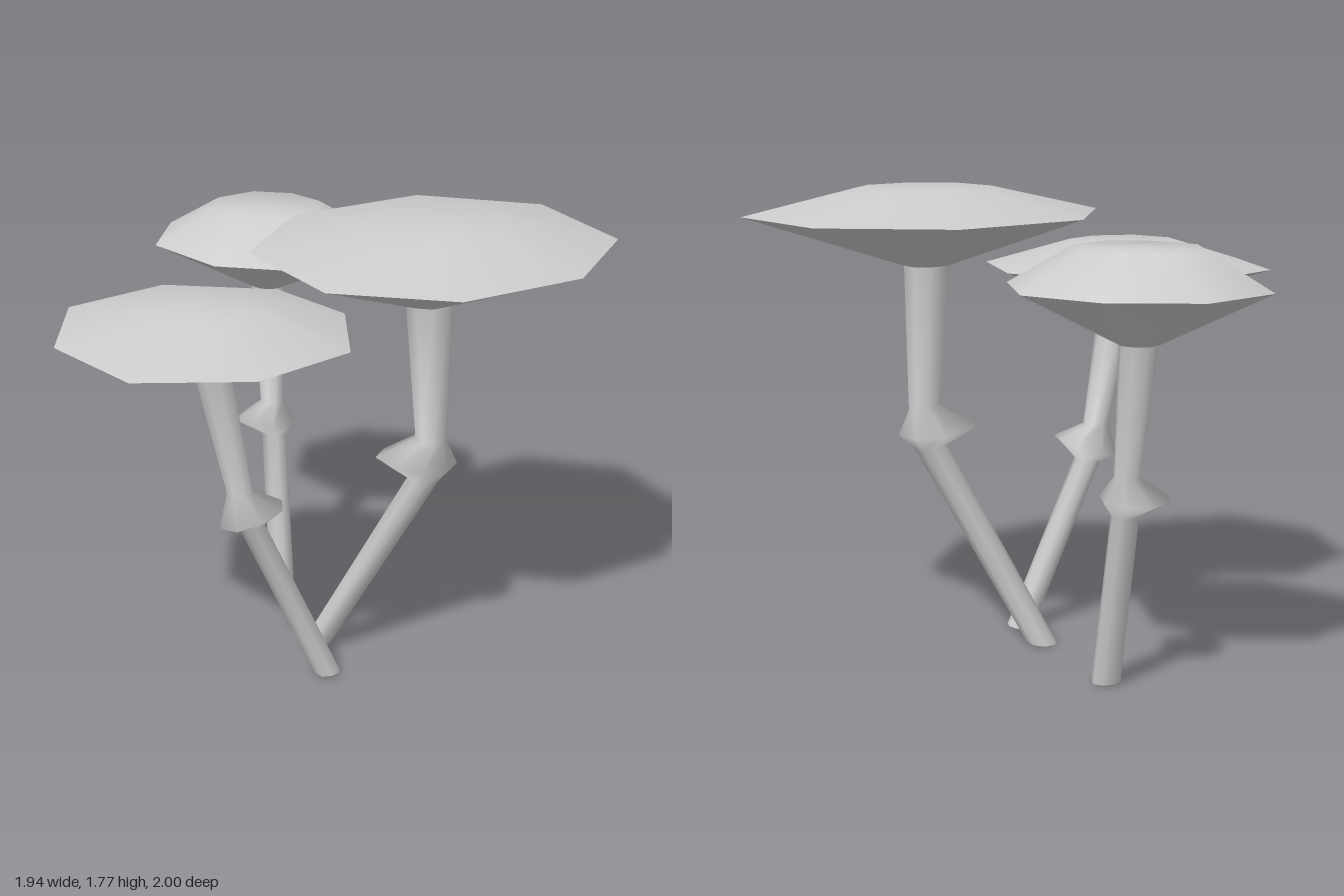
import * as THREE from 'three';

// Smooth skin through a stack of loops, optionally closed by a flat lid on the last one
function loft(loops, lid = false) {
  const n = loops[0].length, pos = loops.flat(2), idx = [];
  for (let i = 0; i < loops.length - 1; i++) {
    for (let j = 0; j < n; j++) {
      const k = (j + 1) % n, a = i * n + j, b = i * n + k, d = a + n, c = b + n;
      idx.push(a, d, b, b, d, c);
    }
  }
  if (lid) {
    const last = loops[loops.length - 1], base = (loops.length - 1) * n;
    for (let t = 0; t < 3; t++) pos.push(last.reduce((s, p) => s + p[t], 0) / n);
    for (let j = 0; j < n; j++) idx.push(loops.length * n, base + (j + 1) % n, base + j);
  }
  const g = new THREE.BufferGeometry();
  g.setAttribute('position', new THREE.Float32BufferAttribute(pos, 3));
  g.setIndex(idx);
  g.computeVertexNormals();
  return g;
}

// rim: outline [x, z]; stem: sections [x, y, z, radius, tiltX, tiltZ] from foot to neck
const MUSHROOMS = [
  {
    name: 'largeMushroom', rimY: 1.68, topY: 1.775, crown: 0.39,
    rim: [[0.08, -0.74], [0.58, -0.79], [0.97, -0.43], [0.97, 0.08], [0.67, 0.48], [0.21, 0.56], [-0.22, 0.23], [-0.26, -0.29]],
    stem: [[-0.055, 0.01, 0.005, 0.06, 0.08, 0], [0.365, 0.78, -0.055, 0.06, -0.2, 0], [0.34, 0.855, -0.04, 0.155, -0.09, 0.1],
      [0.39, 0.94, -0.06, 0.06, -0.2, 0], [0.375, 1.48, -0.055, 0.088, 0, 0]],
  },
  {
    name: 'frontMushroom', rimY: 1.44, topY: 1.54, crown: 0.39,
    rim: [[-0.88, 0.38], [-0.68, 0.01], [-0.25, -0.1], [0.09, 0.07], [0.26, 0.45], [0.08, 0.83], [-0.31, 1], [-0.71, 0.79]],
    stem: [[0.07, 0.01, 0.19, 0.05, 0.1, 0], [-0.17, 0.67, 0.355, 0.05, 0.1, 0], [-0.16, 0.72, 0.37, 0.125, 0.3, -0.14],
      [-0.2, 0.81, 0.385, 0.05, 0, 0], [-0.27, 1.275, 0.435, 0.07, 0, 0]],
  },
  {
    name: 'backMushroom', rimY: 1.48, topY: 1.62, crown: 0.49,
    rim: [[-0.97, -0.65], [-0.78, -0.94], [-0.45, -1], [-0.15, -0.86], [-0.03, -0.51], [-0.21, -0.22], [-0.54, -0.16], [-0.88, -0.33]],
    stem: [[-0.375, 0.01, -0.405, 0.052, -0.08, 0], [-0.455, 0.665, -0.52, 0.05, 0, 0], [-0.487, 0.725, -0.5, 0.125, 0, 0.1],
      [-0.463, 0.805, -0.525, 0.047, 0, 0], [-0.505, 1.285, -0.585, 0.067, 0, 0]],
  },
];

function mushroom({ name, rimY, topY, crown, rim, stem }, material) {
  const group = new THREE.Group();
  group.name = name;
  const n = rim.length;
  const cx = rim.reduce((s, p) => s + p[0], 0) / n, cz = rim.reduce((s, p) => s + p[1], 0) / n;
  const radius = rim.reduce((s, p) => s + Math.hypot(p[0] - cx, p[1] - cz), 0) / n;

  // Every cross-section is the rim outline, shrunk and moved
  const section = ([x, y, z, r, tx = 0, tz = 0]) => rim.map(([px, pz]) => {
    const dx = (px - cx) * r / radius, dz = (pz - cz) * r / radius;
    return [x + dx, y + dx * tx + dz * tz, z + dz];
  });
  const add = (part, geometry) => {
    const mesh = new THREE.Mesh(geometry, material);
    mesh.name = part;
    group.add(mesh);
  };

  const loops = stem.map(section);
  const rimLoop = section([cx, rimY, cz, radius]);
  // Stem with its ring, closed foot, flared underside, shallow crown
  add('stem', loft(loops));
  add('foot', loft([loops[0].slice().reverse()], true));
  add('capUnderside', loft([loops[loops.length - 1], rimLoop]));
  add('capTop', loft([rimLoop, section([cx, topY, cz, radius * crown])], true));
  return group;
}

export function createModel() {
  const model = new THREE.Group();
  model.name = 'mushroomCluster';
  const grey = new THREE.MeshStandardMaterial({ color: 0xcccccc });
  grey.name = 'pale grey';
  for (const spec of MUSHROOMS) model.add(mushroom(spec, grey));
  // Stand the lowest foot corner on the ground
  model.position.y = -new THREE.Box3().setFromObject(model).min.y;
  return model;
}
